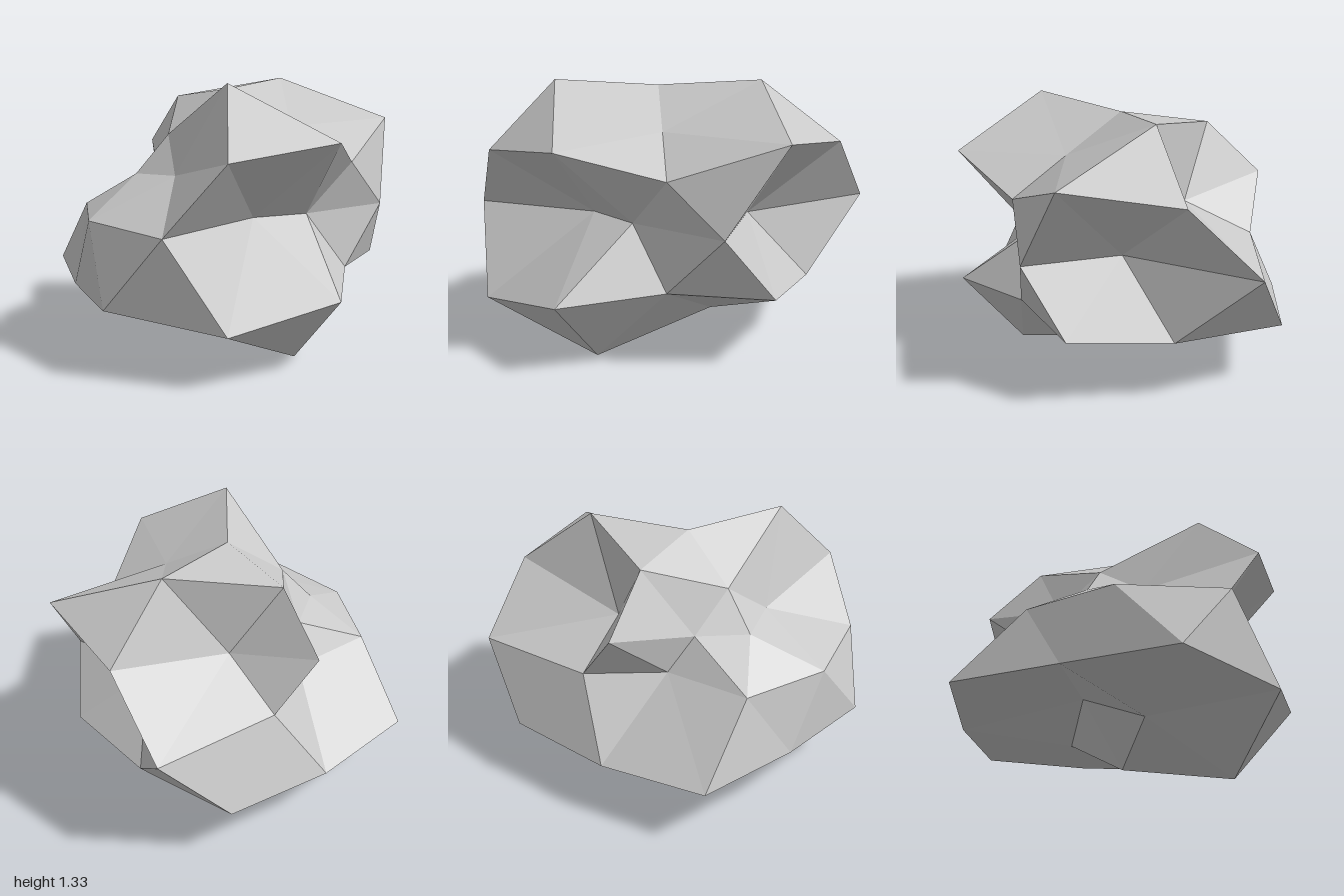
import * as THREE from 'three';

// Low-poly boulder: a once-subdivided icosahedron with a pole on y,
// flattened in height, each corner pushed in or out along its own ray.
const CENTRE = new THREE.Vector3(0.1, 0.681, 0.085);

// slope = height / horizontal radius, start = first azimuth in degrees (from +x towards +z)
const RINGS = {
  cap:      { slope: 1.205,  start: 0,  radii: [0.345, 0.54, 0.31, 0.45, 0.53] },
  upper:    { slope: 0.3725, start: 0,  radii: [0.66, 0.877, 0.48, 0.73, 0.93] },
  upperMid: { slope: 0.461,  start: 36, radii: [0.855, 0.425, 0.39, 0.395, 0.927] },
  equator:  { slope: 0,      start: 18, radii: [0.49, 0.415, 0.915, 0.81, 0.735, 0.45, 0.70, 1.085, 0.525, 0.815] },
  lowerMid: { slope: -0.461, start: 0,  radii: [0.64, 0.925, 0.805, 0.835, 0.79] },
  lower:    { slope: -0.3725, start: 36, radii: [0.88, 0.948, 0.973, 0.973, 0.86] },
  base:     { slope: -1.205, start: 36, radii: [0.565, 0.398, 0.237, 0.345, 0.41] },
};

function ringPoints({ slope, start, radii }) {
  return radii.map((r, i) => {
    const a = THREE.MathUtils.degToRad(start + (i * 360) / radii.length);
    return new THREE.Vector3(r * Math.cos(a), r * slope, r * Math.sin(a)).add(CENTRE);
  });
}

function boulderGeometry() {
  const [C, U, M, E, N, L, B] = Object.values(RINGS).map(ringPoints);
  const top = new THREE.Vector3(0, 0.597, 0).add(CENTRE);
  const bottom = new THREE.Vector3(0, -0.622, 0).add(CENTRE);
  const positions = [];
  const tri = (a, b, c) => [a, c, b].forEach((p) => positions.push(p.x, p.y, p.z));

  // Four large icosahedron faces per fifth, each split into four triangles
  for (let k = 0; k < 5; k++) {
    const n = (k + 1) % 5;
    const e0 = E[2 * k], e1 = E[2 * k + 1], e2 = E[(2 * k + 2) % 10];
    // crown
    tri(top, C[k], C[n]);
    tri(C[k], U[k], M[k]);
    tri(C[k], M[k], C[n]);
    tri(C[n], M[k], U[n]);
    // belt, pointing down
    tri(U[k], e0, M[k]);
    tri(M[k], e0, e1);
    tri(M[k], e1, U[n]);
    tri(e0, L[k], e1);
    // belt, pointing up
    tri(L[k], N[n], e1);
    tri(e1, N[n], e2);
    tri(N[n], L[n], e2);
    tri(e1, e2, U[n]);
    // underside
    tri(L[k], B[k], N[n]);
    tri(N[n], B[k], B[n]);
    tri(N[n], B[n], L[n]);
    tri(B[k], bottom, B[n]);
  }

  // Unshared corners give every facet its own flat normal
  const geometry = new THREE.BufferGeometry();
  geometry.setAttribute('position', new THREE.Float32BufferAttribute(positions, 3));
  geometry.computeVertexNormals();
  return geometry;
}

export function createModel() {
  const stone = new THREE.MeshStandardMaterial({ color: 0xc8c8c8 });
  stone.name = 'stoneGrey';

  const boulder = new THREE.Mesh(boulderGeometry(), stone);
  boulder.name = 'boulder';

  const group = new THREE.Group();
  group.name = 'rock';
  group.add(boulder);
  return group;
}
